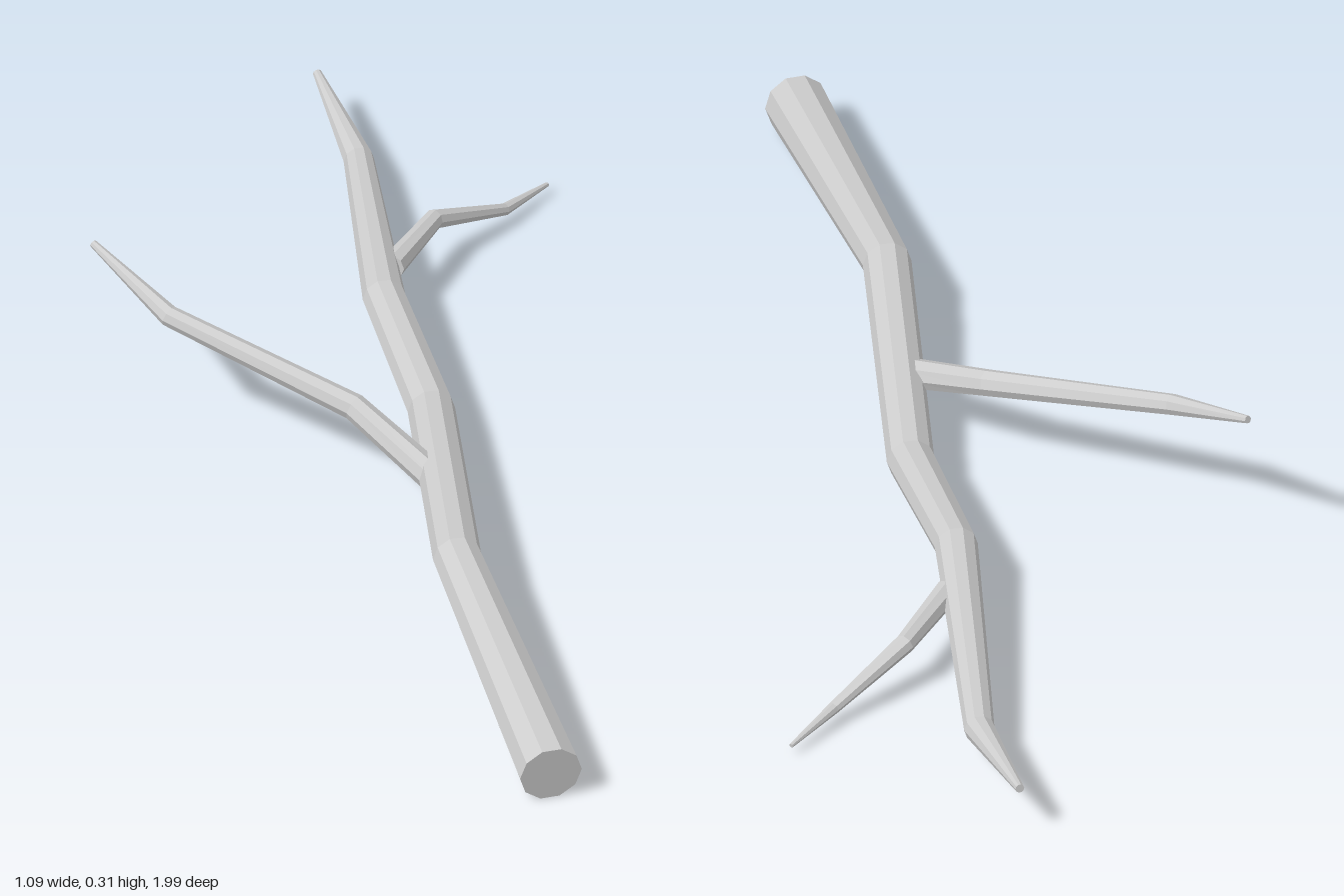
import * as THREE from 'three';

const material = new THREE.MeshStandardMaterial({ color: 0xcccccc, flatShading: true });

// Tapered, capped limb through stations of [x, y, z, radius]
function limb(name, stations, sides) {
  const points = stations.map(([x, y, z]) => new THREE.Vector3(x, y, z));
  const up = new THREE.Vector3(0, 1, 0);
  const last = points.length - 1;
  const positions = [];
  const index = [];

  points.forEach((point, i) => {
    // Each ring lies in the plane halfway between its neighbouring segments
    const t = new THREE.Vector3();
    if (i > 0) t.add(point.clone().sub(points[i - 1]).normalize());
    if (i < last) t.add(points[i + 1].clone().sub(point).normalize());
    t.normalize();
    const s = up.clone().cross(t).normalize();
    const u = t.clone().cross(s);
    for (let j = 0; j < sides; j++) {
      const a = (j / sides) * Math.PI * 2;
      const p = point.clone()
        .addScaledVector(s, Math.cos(a) * stations[i][3])
        .addScaledVector(u, Math.sin(a) * stations[i][3]);
      positions.push(p.x, p.y, p.z);
    }
  });

  // Bark facets
  for (let i = 0; i < last; i++) {
    for (let j = 0; j < sides; j++) {
      const k = (j + 1) % sides;
      const a = i * sides + j, b = i * sides + k;
      index.push(a, b, b + sides, a, b + sides, a + sides);
    }
  }
  // Cut ends
  for (let j = 1; j < sides - 1; j++) {
    index.push(0, j + 1, j);
    index.push(last * sides, last * sides + j, last * sides + j + 1);
  }

  const indexed = new THREE.BufferGeometry();
  indexed.setAttribute('position', new THREE.Float32BufferAttribute(positions, 3));
  indexed.setIndex(index);
  const geometry = indexed.toNonIndexed();
  geometry.computeVertexNormals();
  const mesh = new THREE.Mesh(geometry, material);
  mesh.name = name;
  return mesh;
}

export function createModel() {
  const group = new THREE.Group();
  group.name = 'fallenBranch';

  group.add(limb('mainBranch', [
    [-0.493, 0.057, 0.979, 0.056],
    [-0.313, 0.125, 0.415, 0.043],
    [-0.06, 0.079, -0.045, 0.042],
    [0.038, 0.111, -0.34, 0.038],
    [0.272, 0.068, -0.77, 0.027],
    [0.335, 0.1, -0.995, 0.008],
  ], 10));

  group.add(limb('raisedTwig', [
    [-0.182, 0.09, 0.17, 0.028],
    [-0.235, 0.163, -0.025, 0.024],
    [-0.41, 0.24, -0.345, 0.019],
    [-0.447, 0.303, -0.528, 0.007],
  ], 8));

  group.add(limb('sideTwig', [
    [0.115, 0.097, -0.43, 0.023],
    [0.26, 0.093, -0.515, 0.018],
    [0.425, 0.036, -0.541, 0.011],
    [0.54, 0.023, -0.58, 0.004],
  ], 8));

  return group;
}
